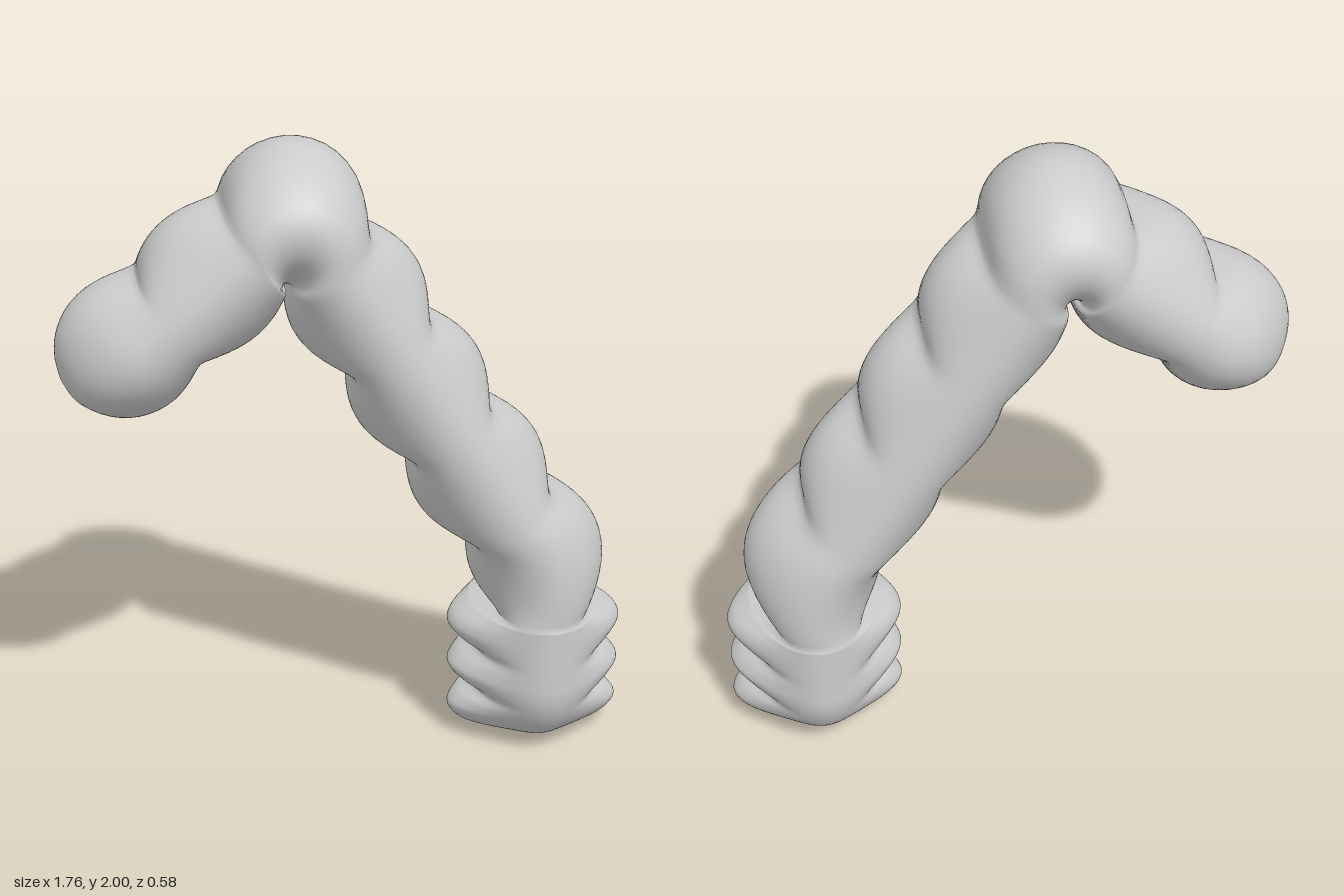
import * as THREE from 'three';

const SIDES = 64, STEPS = 18, RAD = Math.PI / 180;

// Lobe centres along the bent arm: x, y, radius, half depth
const LOBES = [
  [-0.667, 1.372, 0.215, 0.265], [-0.41, 1.577, 0.22, 0.278], [-0.16, 1.782, 0.218, 0.292],
  [0.03, 1.5, 0.216, 0.28], [0.22, 1.21, 0.216, 0.276], [0.41, 0.92, 0.216, 0.274], [0.603, 0.63, 0.215, 0.276],
];
// Ribbed foot profile, top to bottom: half width, y
const FOOT = [
  [0.2, 0.455], [0.262, 0.42], [0.277, 0.388], [0.25, 0.35], [0.2, 0.315], [0.25, 0.278], [0.275, 0.243],
  [0.25, 0.208], [0.2, 0.172], [0.25, 0.137], [0.275, 0.1], [0.25, 0.058], [0.19, 0.03], [0.12, 0.011], [0.002, 0],
];

const lerp = THREE.MathUtils.lerp;
const onLobe = ([x, y, r], deg) => new THREE.Vector2(x + r * Math.cos(deg * RAD), y + r * Math.sin(deg * RAD));

// Each station pairs a point on the outer edge with one on the inner edge
function armStations() {
  const stations = [], phi = 38;
  const heading = LOBES.map((p, i) => {
    const q = LOBES[i + 1];
    return q ? Math.atan2(q[1] - p[1], q[0] - p[0]) / RAD : -90;
  });
  LOBES.forEach((lobe, i) => {
    const into = i ? heading[i - 1] : heading[0], out = heading[i];
    const open = i ? phi : 0.5;
    for (let k = i ? 1 : 0; k <= STEPS; k++) {
      const t = k / STEPS;
      const near = LOBES[Math.max(0, Math.min(LOBES.length - 1, t < 0.5 ? i - 1 : i + 1))];
      const scale = i ? 1 : Math.sin(Math.min(90, 2 + t * (180 - phi) * 0.85) * RAD);
      stations.push({
        outer: onLobe(lobe, lerp(into + 180 - open, out + phi, t)),
        inner: onLobe(lobe, lerp(into - 180 + open, out - phi, t)),
        depth: lerp(lobe[3], near[3], Math.abs(t - 0.5)) * scale,
        scale,
      });
    }
  });
  // Soften the creases between lobes
  for (let pass = 0; pass < 2; pass++) {
    const old = stations.map((s) => [s.outer.clone(), s.inner.clone()]);
    for (let i = 3; i < stations.length - 1; i++) {
      ['outer', 'inner'].forEach((key, n) => {
        stations[i][key].multiplyScalar(0.5).addScaledVector(old[i - 1][n], 0.25).addScaledVector(old[i + 1][n], 0.25);
      });
    }
  }
  return stations;
}

function footStations() {
  const curve = new THREE.CatmullRomCurve3(FOOT.map(([w, y]) => new THREE.Vector3(w, y, 0)));
  return curve.getPoints(84).map((p) => {
    const y = Math.max(p.y, 0), w = Math.max(p.x, 0.002);
    const scale = y < 0.25 ? Math.sqrt(Math.max(0.0001, 1 - (1 - y / 0.25) ** 2)) : 1;
    return {
      outer: new THREE.Vector2(0.606 + w, y),
      inner: new THREE.Vector2(0.606 - w, y),
      depth: 0.281 * scale,
      scale,
    };
  });
}

// Skin the stations; lobes and ribs fade out toward the front and back
function loft(stations) {
  const pos = [], index = [];
  stations.forEach(({ outer, inner, depth, scale }, i) => {
    const mid = outer.clone().add(inner).multiplyScalar(0.5);
    const dir = outer.clone().sub(inner);
    const w = dir.length() / 2, base = 0.19 * scale;
    dir.normalize();
    for (let j = 0; j < SIDES; j++) {
      const a = (j / SIDES) * Math.PI * 2, c = Math.cos(a);
      const d = base * c + (w - base) * c * Math.abs(c) ** 3;
      pos.push(mid.x + dir.x * d, mid.y + dir.y * d, depth * Math.sin(a));
      if (i + 1 < stations.length) {
        const p = i * SIDES + j, q = i * SIDES + ((j + 1) % SIDES);
        index.push(p, q, p + SIDES, q, q + SIDES, p + SIDES);
      }
    }
  });
  const geo = new THREE.BufferGeometry();
  geo.setAttribute('position', new THREE.Float32BufferAttribute(pos, 3));
  geo.setIndex(index);
  geo.computeVertexNormals();
  return geo;
}

export function createModel() {
  const group = new THREE.Group();
  group.name = 'bentLobedArm';
  const material = new THREE.MeshStandardMaterial({ color: 0xcccccc, side: THREE.DoubleSide });
  const body = new THREE.Mesh(loft([...armStations(), ...footStations()]), material);
  body.name = 'lobedArmWithRibbedFoot';
  group.add(body);
  return group;
}
